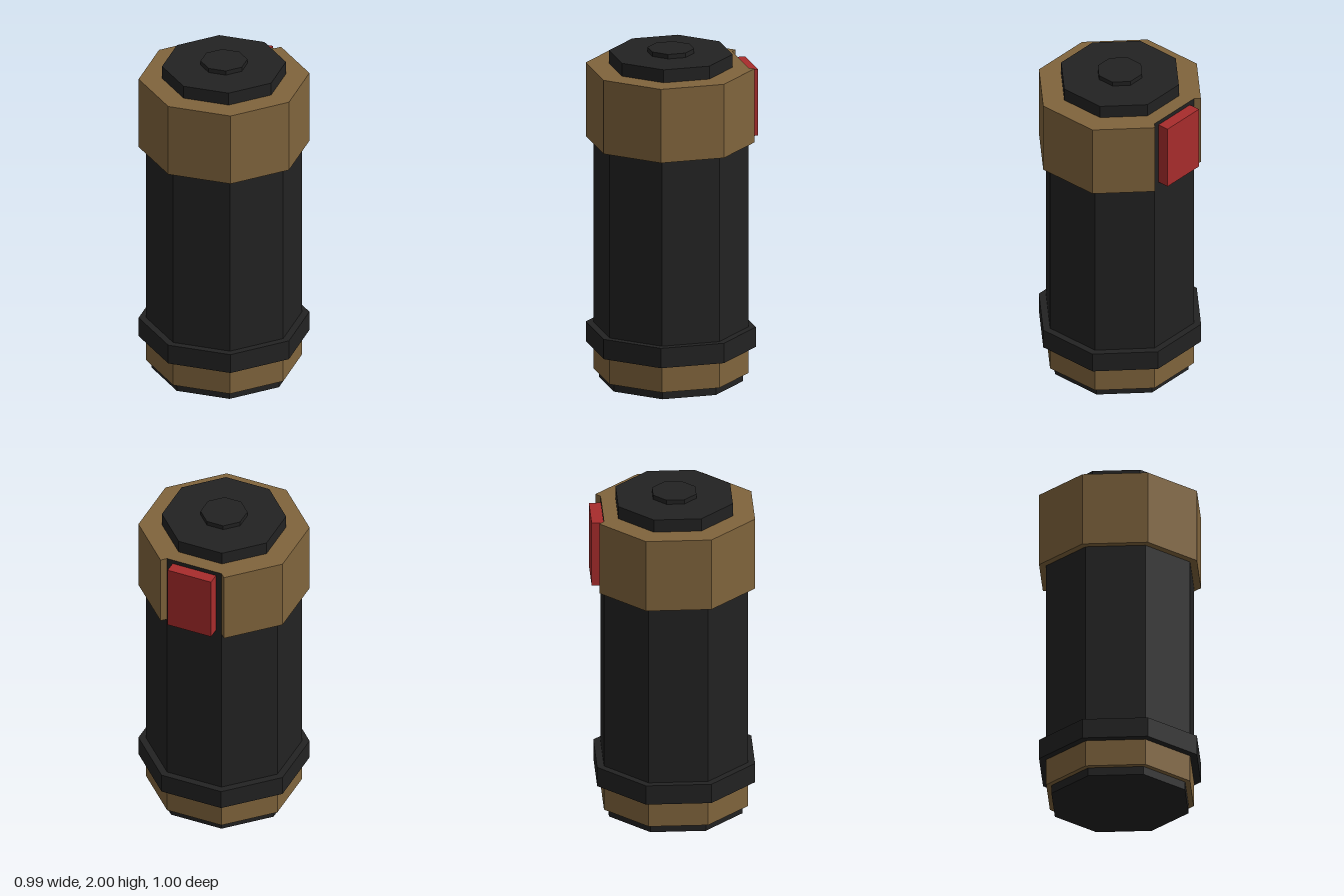
import * as THREE from 'three';

const BODY_R = 0.452, RIM_R = 0.496, SIDES = 8;

export function createModel() {
  const mat = (name, color) => {
    const m = new THREE.MeshStandardMaterial({ color });
    m.name = name;
    return m;
  };
  const black = mat('black', 0x222222);
  const bronze = mat('bronze', 0x80643c);
  const red = mat('red', 0xa82c2c);

  const model = new THREE.Group();
  model.name = 'canister';
  const add = (name, geometry, material) => {
    const mesh = new THREE.Mesh(geometry, material);
    mesh.name = name;
    model.add(mesh);
    return mesh;
  };

  // Octagonal prism with crisp faces, corners on the axes
  const prism = (name, r, y0, y1, material) => {
    const indexed = new THREE.CylinderGeometry(r, r, y1 - y0, SIDES);
    const g = indexed.toNonIndexed();
    // non-indexed conversion keeps the side / top / bottom groups
    g.computeVertexNormals();
    g.translate(0, (y0 + y1) / 2, 0);
    return add(name, g, material);
  };

  // Stacked sections from the bottom up
  prism('baseFoot', 0.42, 0, 0.05, black);
  prism('lowerBand', BODY_R, 0.05, 0.21, bronze);
  prism('lowerRing', RIM_R, 0.21, 0.33, black);
  prism('body', BODY_R, 0.33, 1.895, [black, bronze, black]);
  prism('topCap', 0.36, 1.895, 1.973, black);
  prism('topKnob', 0.136, 1.973, 2, black);

  // Upper collar: a plate on seven of the eight sides, open at the back left
  const step = (2 * Math.PI) / SIDES;
  const polar = (r, a) => new THREE.Vector2(r * Math.cos(a), r * Math.sin(a));
  const start = Math.PI / 2;
  const end = start + 7 * step;
  const thickness = (RIM_R - BODY_R) * Math.cos(step / 2);
  const points = [polar(BODY_R, start).add(polar(thickness, start + step / 2))];
  for (let k = 1; k < 7; k++) points.push(polar(RIM_R, start + k * step));
  points.push(polar(BODY_R, end).add(polar(thickness, end - step / 2)));
  for (let k = 7; k >= 0; k--) points.push(polar(BODY_R, start + k * step));
  const collar = new THREE.ExtrudeGeometry(new THREE.Shape(points), {
    depth: 0.445, bevelEnabled: false,
  });
  collar.rotateX(-Math.PI / 2).translate(0, 1.45, 0);
  add('upperCollar', collar, bronze);

  // Red button block sitting in the collar's gap
  const inner = BODY_R * Math.cos(step / 2) - 0.01, outer = 0.487;
  const block = new THREE.BoxGeometry(0.276, 0.4, outer - inner);
  block.translate(0, 1.67, (inner + outer) / 2);
  block.rotateY(Math.PI - step / 2);
  add('redButton', block, red);

  return model;
}
